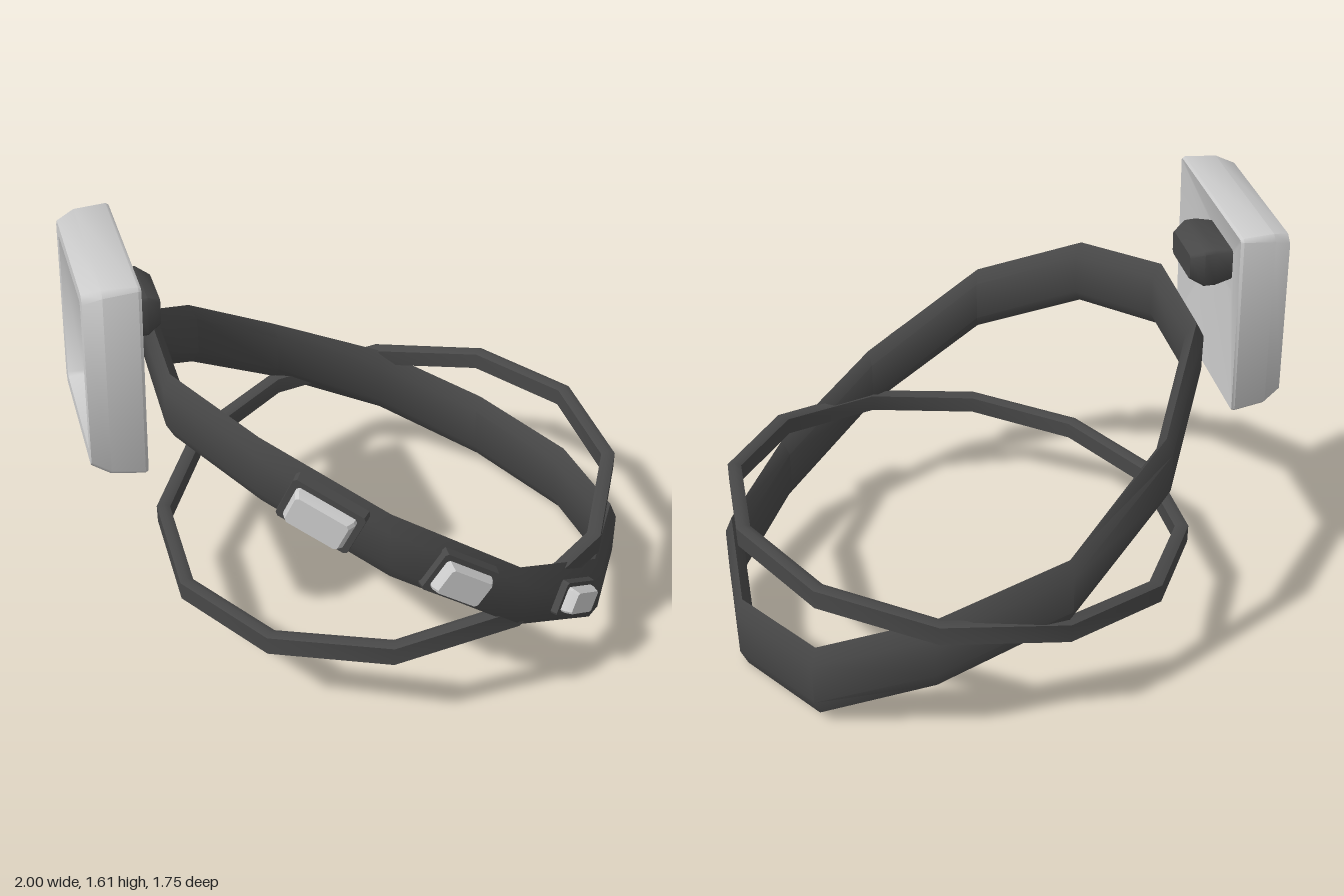
import * as THREE from 'three';
import { toCreasedNormals } from 'three/addons/utils/BufferGeometryUtils.js';

const dark = new THREE.MeshStandardMaterial({ color: 0x484848 });
const light = new THREE.MeshStandardMaterial({ color: 0xcccccc });

// Skins equal-length rings of [x, y, z]; rings run counter-clockwise about the direction of travel
function loft(rings, loop, crease) {
  const n = rings[0].length, pos = rings.flat(2), index = [];
  const last = loop ? rings.length : rings.length - 1;
  for (let i = 0; i < last; i++) {
    const p = i * n, q = ((i + 1) % rings.length) * n;
    for (let j = 0; j < n; j++) {
      const k = (j + 1) % n;
      index.push(p + j, p + k, q + k, p + j, q + k, q + j);
    }
  }
  if (!loop) {
    const e = (rings.length - 1) * n;
    for (let j = 1; j < n - 1; j++) index.push(0, j + 1, j, e, e + j, e + j + 1);
  }
  const g = new THREE.BufferGeometry();
  g.setAttribute('position', new THREE.Float32BufferAttribute(pos, 3));
  g.setIndex(index);
  return toCreasedNormals(g, crease);
}

// Rectangle with cut corners, in the plane z
function rect(w, h, z, cut = 0.01, cy = 0) {
  const a = w / 2, b = h / 2, c = cut;
  return [[a, -b + c], [a, b - c], [a - c, b], [-a + c, b],
    [-a, b - c], [-a, -b + c], [-a + c, -b], [a - c, -b]].map(([x, y]) => [x, y + cy, z]);
}

function mesh(name, geometry, material) {
  const m = new THREE.Mesh(geometry, material);
  m.name = name;
  return m;
}

// Belt with an upright section [inset, height]; corners are [x, y, z, height scale]
function belt(corners, cx, cz, section) {
  return loft(corners.map(([x, y, z, s = 1]) => {
    const r = Math.hypot(x - cx, z - cz), nx = (x - cx) / r, nz = (z - cz) / r;
    return section.map(([d, h]) => [x + nx * d, y + h * s, z + nz * d]);
  }), true, 0.9);
}

export function createModel() {
  const root = new THREE.Group();

  // Wide belt, slung low on one side, from the back round by the model's left
  const wide = [
    [0.08, 0.39, -0.865, 1.1], [0.51, 0.195, -0.825, 1.15], [0.85, 0.145, -0.53, 1.16],
    [1, 0.195, -0.1, 1.15], [0.9, 0.285, 0.34, 1.08], [0.6, 0.53, 0.69, 1],
    [0.16, 0.85, 0.84, 1], [-0.27, 1.05, 0.72, 0.98], [-0.59, 1.105, 0.45, 0.98],
    [-0.73, 1.1, 0.02, 0.92], [-0.65, 0.87, -0.4, 1], [-0.36, 0.595, -0.74, 1],
  ];
  root.add(mesh('wideBelt', belt(wide, 0.13, -0.02, [
    [0, -0.07], [0, 0.07], [-0.027, 0.125], [-0.062, 0.075], [-0.062, -0.075], [-0.027, -0.125],
  ]), dark));

  // Thin belt on a gently tilted plane
  const thin = wide.map((_, i) => {
    const a = THREE.MathUtils.degToRad(-94 + 30 * i);
    const dx = 0.85 * Math.cos(a), dz = 0.85 * Math.sin(a);
    return [0.12 + dx, 0.435 + 0.12 * dx - 0.08 * dz, -0.035 + dz];
  });
  root.add(mesh('thinBelt', belt(thin, 0.12, -0.035, [
    [0, -0.035], [0, 0.035], [-0.025, 0.044], [-0.05, 0.032], [-0.05, -0.032], [-0.025, -0.044],
  ]), dark));

  // Studs along the front of the wide belt: [segment, position along it, scale]
  for (const [i, t, s] of [[6, 0.5, 1], [5, 0.5, 0.88], [4, 0.6, 0.72]]) {
    const a = new THREE.Vector3(...wide[i + 1]), b = new THREE.Vector3(...wide[i]);
    const along = b.clone().sub(a).normalize();
    const out = new THREE.Vector3(-along.z, 0, along.x).normalize();
    const up = out.clone().cross(along);
    const stud = new THREE.Group();
    stud.name = 'stud';
    stud.add(mesh('studBase', loft([rect(0.27, 0.18, -0.03), rect(0.26, 0.17, 0.025)], false, 0.4), dark));
    stud.add(mesh('studCap', loft([
      rect(0.22, 0.13, 0.01), rect(0.215, 0.125, 0.04), rect(0.19, 0.11, 0.064),
    ], false, 0.4), light));
    stud.quaternion.setFromRotationMatrix(new THREE.Matrix4().makeBasis(along, up, out));
    stud.position.lerpVectors(a, b, t);
    stud.scale.set(s, s, 1);
    root.add(stud);
  }

  // Buckle, facing outward; its back dips in towards the knob
  const buckle = new THREE.Group();
  buckle.name = 'buckle';
  buckle.add(mesh('buckleFrame', loft([
    rect(0.25, 0.16, -0.04, 0.01, 0.1),
    rect(0.65, 0.665, -0.09, 0.008),
    rect(0.66, 0.675, -0.08, 0.01),
    rect(0.65, 0.665, 0.03, 0.02),
    rect(0.6, 0.62, 0.09, 0.025),
    rect(0.5, 0.54, 0.09, 0.012),
    rect(0.46, 0.51, 0.04, 0.01),
    rect(0.45, 0.5, -0.015, 0.01),
  ], false, 0.85), light));
  const panel = mesh('bucklePanel', new THREE.BoxGeometry(0.44, 0.49, 0.02), dark);
  panel.position.z = -0.012;
  buckle.add(panel);
  buckle.add(mesh('buckleKnob', loft([
    rect(0.2, 0.09, -0.185), rect(0.255, 0.135, -0.14), rect(0.26, 0.135, -0.1), rect(0.24, 0.11, -0.03),
  ].map((r) => r.map(([x, y, z]) => [x, y + 0.125, z])), false, 0.9), dark));
  buckle.rotation.set(-0.045, -1.246, 0.045, 'YXZ');
  buckle.position.set(-0.815, 1.26, 0.28);
  root.add(buckle);

  return root;
}
